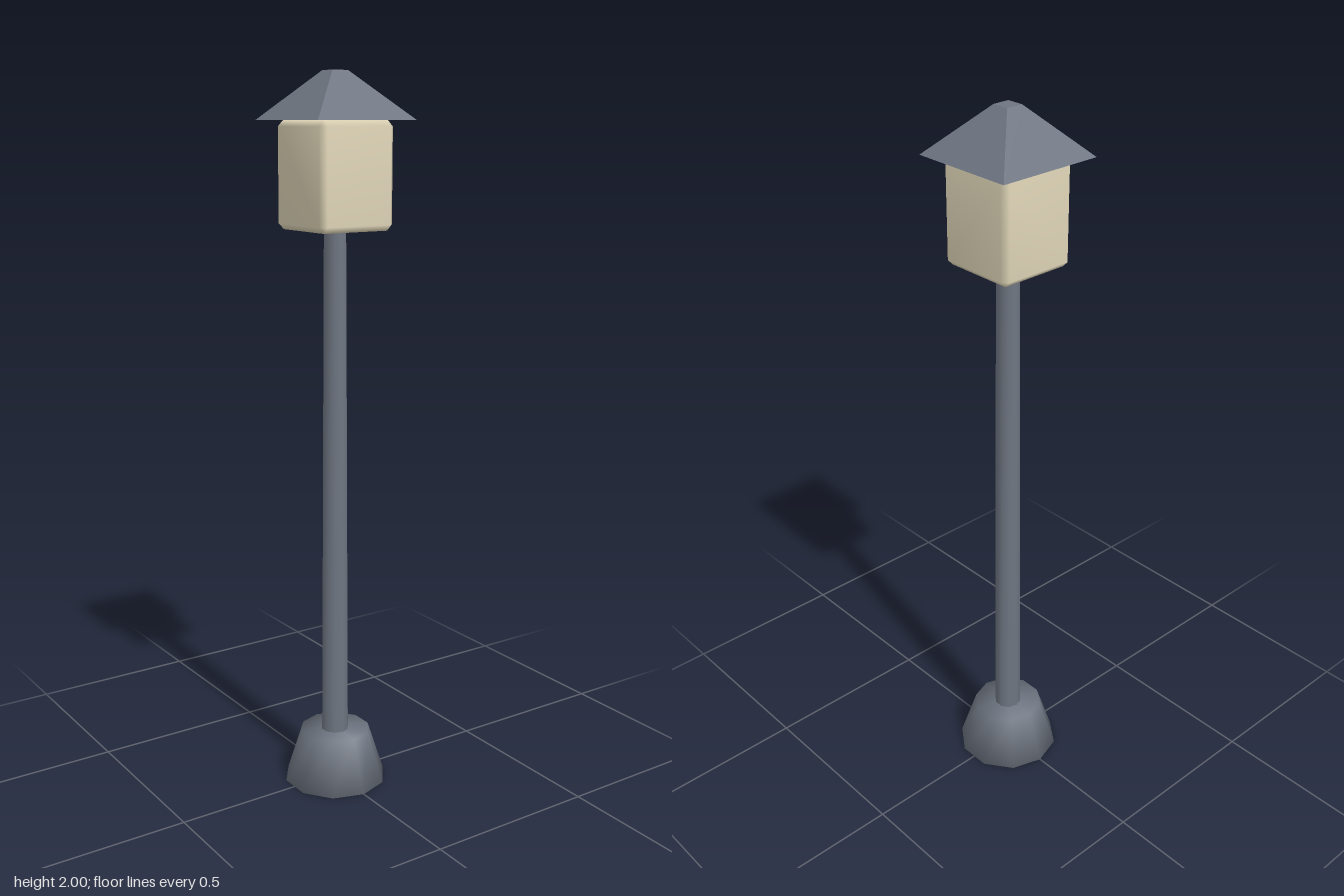
import * as THREE from 'three';
import { mergeVertices } from 'three/addons/utils/BufferGeometryUtils.js';
import { ConvexGeometry } from 'three/addons/geometries/ConvexGeometry.js';

// Share every corner so the shading runs smoothly over all edges
function smooth(geometry) {
  geometry.deleteAttribute('normal');
  geometry.deleteAttribute('uv');
  const merged = mergeVertices(geometry, 1e-4);
  merged.computeVertexNormals();
  return merged;
}

// Box with every edge cut off at the given bevel
function beveledBox(halfWidth, halfHeight, bevel) {
  const w = halfWidth, h = halfHeight, b = bevel, points = [];
  for (const sx of [-1, 1]) for (const sy of [-1, 1]) for (const sz of [-1, 1]) {
    points.push(
      new THREE.Vector3(sx * w, sy * (h - b), sz * (w - b)),
      new THREE.Vector3(sx * (w - b), sy * h, sz * (w - b)),
      new THREE.Vector3(sx * (w - b), sy * (h - b), sz * w)
    );
  }
  return smooth(new ConvexGeometry(points));
}

export function createModel() {
  const group = new THREE.Group();
  const metal = new THREE.MeshStandardMaterial({ color: 0x6f7682 });
  metal.name = 'slate metal';
  const glow = new THREE.MeshStandardMaterial({ color: 0xe0d6b8 });
  glow.name = 'cream glass';

  function add(name, geometry, material, y) {
    const mesh = new THREE.Mesh(geometry, material);
    mesh.name = name;
    mesh.position.y = y;
    group.add(mesh);
  }

  // Ten-sided flared foot and slightly tapered pole
  add('base', smooth(new THREE.CylinderGeometry(0.1, 0.148, 0.15, 10)), metal, 0.075);
  add('pole', smooth(new THREE.CylinderGeometry(0.031, 0.039, 1.45, 10)), metal, 0.87);

  // Glowing lantern body
  add('lantern', beveledBox(0.115, 0.142, 0.016), glow, 1.732);

  // Truncated pyramid roof with crisp facets
  const roof = new THREE.CylinderGeometry(0.024 * Math.SQRT2, 0.1525 * Math.SQRT2, 0.126, 4)
    .rotateY(Math.PI / 4).toNonIndexed();
  roof.computeVertexNormals();
  add('roof', roof, metal, 1.937);

  return group;
}
